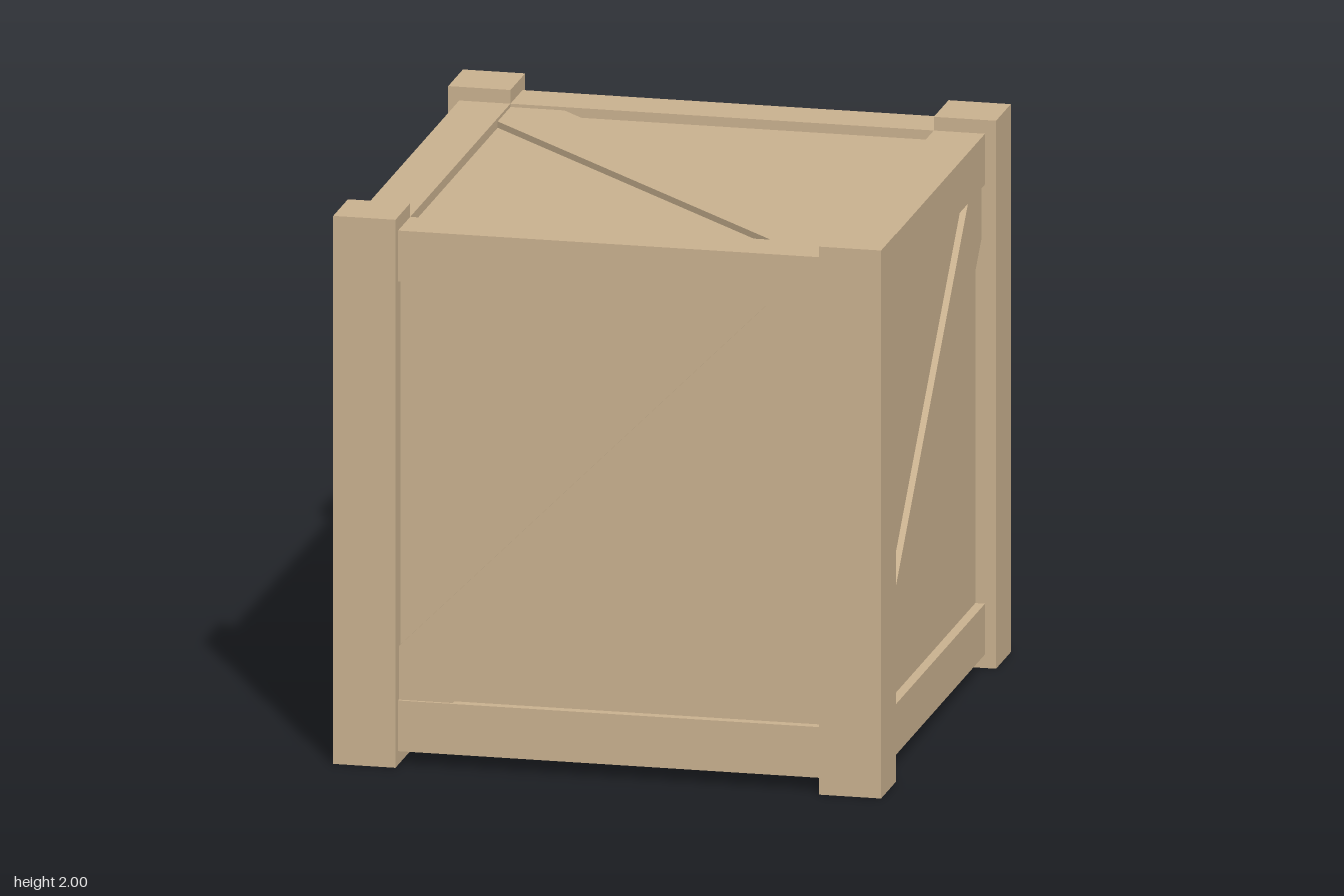
import * as THREE from 'three';

export function createModel() {
  const crate = new THREE.Group();
  crate.name = 'crate';
  const wood = new THREE.MeshStandardMaterial({ color: 0xc9b18f });
  wood.name = 'pale wood';

  const OUT = 0.99, INNER = 0.765, RAIL = 0.95, BRACE = 0.938, PANEL = 0.915;
  const add = (geometry, name, x = 0, y = 0, z = 0) => {
    const mesh = new THREE.Mesh(geometry, wood);
    mesh.name = name;
    mesh.position.set(x, y + 1, z);
    crate.add(mesh);
    return mesh;
  };

  // Recessed panels on all six sides
  add(new THREE.BoxGeometry(2 * PANEL, 2 * PANEL, 2 * PANEL), 'panels');

  // Corner posts, and rails between them
  const postWidth = OUT - INNER, postMid = (OUT + INNER) / 2;
  const railWidth = RAIL - INNER, railMid = (RAIL + INNER) / 2;
  for (const a of [-1, 1]) {
    for (const b of [-1, 1]) {
      add(new THREE.BoxGeometry(postWidth, 2, postWidth), 'cornerPost', a * postMid, 0, b * postMid);
      add(new THREE.BoxGeometry(2 * INNER, railWidth, railWidth), 'crossRail', 0, a * railMid, b * railMid);
      add(new THREE.BoxGeometry(railWidth, railWidth, 2 * INNER), 'sideRail', b * railMid, a * railMid, 0);
    }
  }

  // Diagonal brace, cut to fit the corners of the frame
  const cut = INNER - 0.195;
  const outline = new THREE.Shape([
    [-INNER, -INNER], [-cut, -INNER], [INNER, cut],
    [INNER, INNER], [cut, INNER], [-INNER, -cut],
  ].map(([x, y]) => new THREE.Vector2(x, y)));
  const brace = new THREE.ExtrudeGeometry(outline, { depth: BRACE - PANEL + 0.01, bevelEnabled: false });
  brace.translate(0, 0, PANEL - 0.01);

  // One brace on each upright side
  for (let i = 0; i < 4; i++) add(brace, 'sideBrace').rotation.y = i * Math.PI / 2;
  // Top and bottom braces run along the other diagonal
  for (const s of [-1, 1]) {
    add(brace, s < 0 ? 'topBrace' : 'bottomBrace').rotation.set(s * Math.PI / 2, 0, Math.PI / 2);
  }
  return crate;
}
